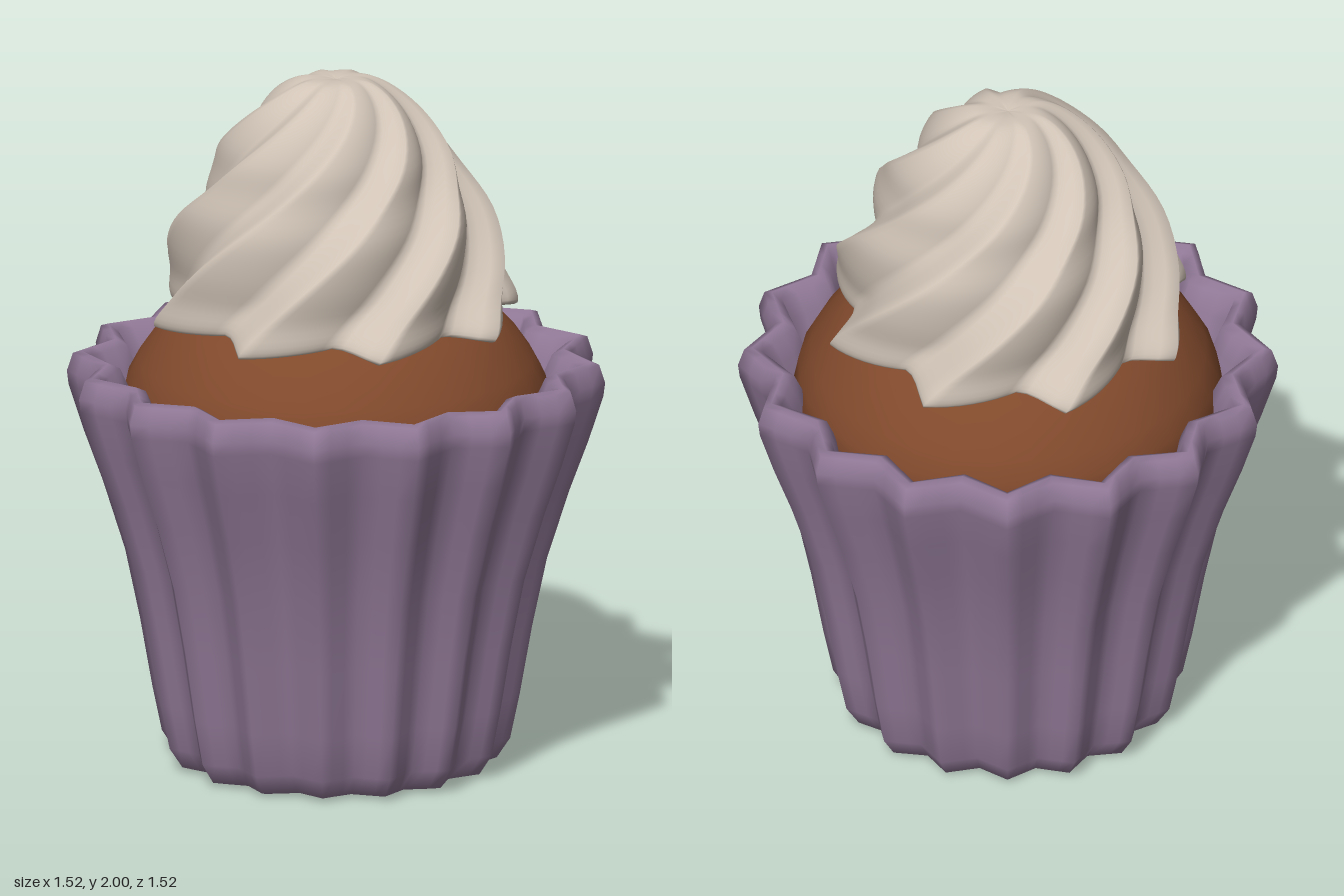
import * as THREE from 'three';

const RIBS = 16;
const LOBES = 8;

// Closed-around surface: point(i, j) gives [x, y, z] on ring i, step j
function ringSurface(rings, steps, point) {
  const pos = [], index = [];
  for (let i = 0; i < rings; i++) {
    for (let j = 0; j < steps; j++) {
      pos.push(...point(i, j));
      if (i === rings - 1) continue;
      const k = (j + 1) % steps;
      const a0 = i * steps + j, a1 = i * steps + k;
      const b0 = a0 + steps, b1 = a1 + steps;
      index.push(a0, b0, a1, a1, b0, b1);
    }
  }
  const geo = new THREE.BufferGeometry();
  geo.setAttribute('position', new THREE.Float32BufferAttribute(pos, 3));
  geo.setIndex(index);
  geo.computeVertexNormals();
  return geo;
}

// Pleated paper cup: [tip radius, valley radius, height], outside then inside
function wrapperGeometry() {
  const profile = [
    [0, 0, 0], [0.41, 0.37, 0], [0.455, 0.405, 0.012],
    [0.493, 0.44, 0.07], [0.52, 0.465, 0.2], [0.555, 0.498, 0.4],
    [0.597, 0.535, 0.6], [0.66, 0.588, 0.8], [0.715, 0.636, 0.95],
    [0.757, 0.675, 1.08], [0.762, 0.68, 1.12], [0.745, 0.668, 1.172],
    [0.722, 0.646, 1.18], [0.692, 0.614, 1.165], [0.665, 0.584, 1.1],
    [0.63, 0.565, 1.0], [0.56, 0.51, 0.8], [0, 0, 0.75],
  ];
  const start = THREE.MathUtils.degToRad(-4.5);
  const perSide = 3;
  return ringSurface(profile.length, RIBS * 2 * perSide, (i, j) => {
    const [tip, valley, y] = profile[i];
    const corner = (n) => {
      const r = n % 2 ? valley : tip, a = start + (n * Math.PI) / RIBS;
      return new THREE.Vector2(r * Math.cos(a), r * Math.sin(a));
    };
    // straight pleat sides between tip and valley
    const side = Math.floor(j / perSide);
    const p = corner(side).lerp(corner(side + 1), (j % perSide) / perSide);
    return [p.x, y, p.y];
  });
}

// Swirled cream: lopsided lobes that twist as they climb
function frostingGeometry() {
  const curve = new THREE.SplineCurve([
    [0.34, 1.32], [0.5, 1.298], [0.53, 1.32], [0.505, 1.4], [0.485, 1.5],
    [0.445, 1.61], [0.38, 1.71], [0.33, 1.8], [0.255, 1.89],
    [0.18, 1.955], [0.11, 1.993], [0.05, 2.0], [0, 1.995],
  ].map(([r, y]) => new THREE.Vector2(r, y)));
  const pts = curve.getPoints(48);
  const perLobe = 12, valleyAt = 4 / 12;
  return ringSurface(pts.length, LOBES * perLobe, (i, j) => {
    const { x, y } = pts[i];
    const p = (j % perLobe) / perLobe;
    // 0 at a lobe's tip, 1 in the fold beside it
    const depth = p < valleyAt
      ? Math.sin((p / valleyAt) * Math.PI / 2)
      : ((1 - p) / (1 - valleyAt)) ** 1.1;
    const climb = Math.max(0, (y - 1.3) / 0.7);
    const lift = 0.025 * depth * THREE.MathUtils.clamp((1.45 - y) / 0.15, 0, 1);
    const a = Math.PI / 8 + (j * 2 * Math.PI) / (LOBES * perLobe) - 1.75 * climb ** 1.25;
    const r = Math.max(x, 0) * (1 - 0.18 * depth);
    return [r * Math.cos(a), y + lift, r * Math.sin(a)];
  });
}

// Domed sponge
function cakeGeometry() {
  const profile = [
    [0, 0.78], [0.5, 0.8], [0.56, 0.95], [0.61, 1.03], [0.592, 1.12],
    [0.56, 1.18], [0.515, 1.245], [0.46, 1.305], [0.36, 1.375], [0.2, 1.43], [0, 1.45],
  ].map(([r, y]) => new THREE.Vector2(r, y));
  return new THREE.LatheGeometry(profile, 32);
}

export function createModel() {
  const group = new THREE.Group();
  group.name = 'cupcake';
  const add = (name, geometry, materialName, color) => {
    const material = new THREE.MeshStandardMaterial({ color });
    material.name = materialName;
    const mesh = new THREE.Mesh(geometry, material);
    mesh.name = name;
    group.add(mesh);
  };
  add('wrapper', wrapperGeometry(), 'purple paper', 0x927a98);
  add('cake', cakeGeometry(), 'brown sponge', 0x80492c);
  add('frosting', frostingGeometry(), 'cream', 0xd1c4b7);
  return group;
}
